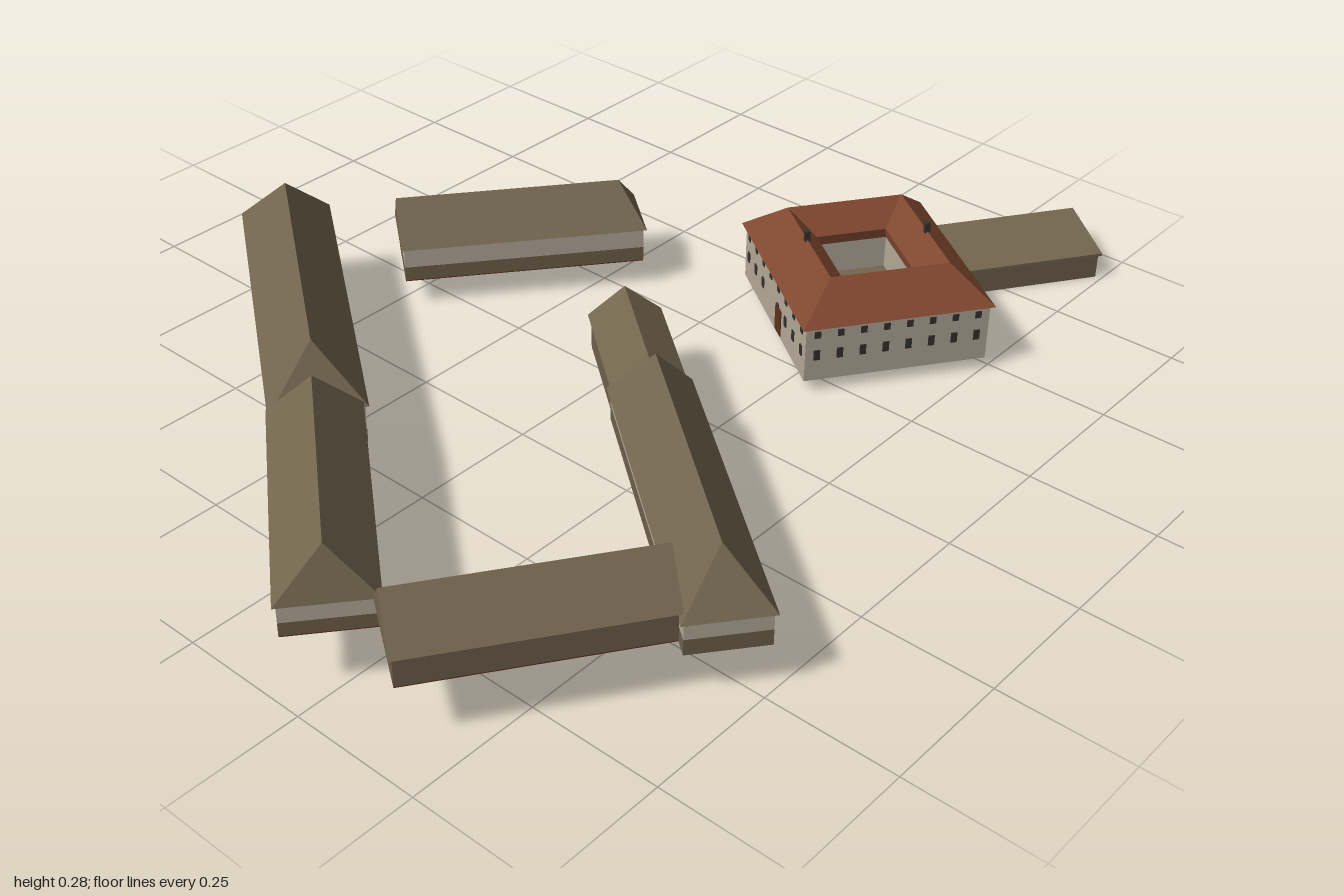
import * as THREE from 'three';

const mat = (name, color) => Object.assign(new THREE.MeshStandardMaterial({ color }), { name });

export function createModel() {
  const model = new THREE.Group();
  model.name = 'courtyardEstate';

  const M = {
    roof: mat('weathered roof', 0x73664f),
    red: mat('red tile', 0x80482f),
    wall: mat('pale plaster', 0xb5aa9a),
    wood: mat('brown wood', 0x6f604b),
    door: mat('door brown', 0x5f321e),
    dark: mat('dark opening', 0x35322e),
  };

  const add = (parent, name, geometry, material, x = 0, y = 0, z = 0) => {
    const mesh = new THREE.Mesh(geometry, material);
    mesh.name = name;
    mesh.position.set(x, y, z);
    parent.add(mesh);
    return mesh;
  };
  // Box between two heights
  const block = (parent, name, material, sx, sz, y0, y1, x = 0, z = 0) =>
    add(parent, name, new THREE.BoxGeometry(sx, y1 - y0, sz), material, x, (y0 + y1) / 2, z);

  // Group whose local x axis runs along the ground from a to b
  const place = (name, a, b) => {
    const g = new THREE.Group();
    g.name = name;
    g.position.set((a[0] + b[0]) / 2, 0, (a[1] + b[1]) / 2);
    g.rotation.y = Math.atan2(a[1] - b[1], b[0] - a[0]);
    model.add(g);
    return { g, len: Math.hypot(b[0] - a[0], b[1] - a[1]) };
  };

  // Flat-faced solid from corner points and polygon faces
  const solid = (pts, faces) => {
    const pos = [];
    for (const f of faces)
      for (let i = 1; i < f.length - 1; i++)
        for (const k of [f[0], f[i], f[i + 1]]) pos.push(...pts[k]);
    const geo = new THREE.BufferGeometry();
    geo.setAttribute('position', new THREE.Float32BufferAttribute(pos, 3));
    geo.computeVertexNormals();
    return geo;
  };

  // Pitched roof; a hip inset of 0 gives a gable
  const pitchedRoof = (len, w, eave, ridge, hipA, hipB) => {
    const x = len / 2, z = w / 2;
    return solid(
      [[-x, eave, z], [x, eave, z], [x, eave, -z], [-x, eave, -z],
        [-x + hipA, ridge, 0], [x - hipB, ridge, 0]],
      [[0, 1, 5, 4], [2, 3, 4, 5], [1, 2, 5], [3, 0, 4], [3, 2, 1, 0]]);
  };

  // Strip joining rectangular loops [halfX, halfZ, y]
  const rings = (loops) => {
    const pts = [], faces = [];
    loops.forEach(([x, z, y], j) => {
      pts.push([-x, y, z], [x, y, z], [x, y, -z], [-x, y, -z]);
      if (!j) return;
      for (let i = 0; i < 4; i++) {
        const n = (i + 1) % 4, p = 4 * (j - 1), q = 4 * j;
        faces.push([p + i, p + n, q + n, q + i]);
      }
    });
    return solid(pts, faces);
  };

  // Dark recessed side with a row of posts
  const arcade = (g, len, z, y0, y1, n) => {
    block(g, 'arcadeOpening', M.dark, len * 0.94, 0.004, y0, y1, 0, z);
    for (let i = 0; i < n; i++)
      block(g, 'arcadePost', M.wood, 0.006, 0.01, y0, y1, len * 0.94 * (i / (n - 1) - 0.5), z);
  };

  // Long wings around the yard: plinth, walls and roof
  const wings = [
    { name: 'northWing', a: [-0.175, -0.714], b: [-0.597, -0.14], w: 0.172, y: [0.087, 0.115, 0.165, 0.275], hips: [0.095, 0.06], doors: [[0, 1], [0, -1]] },
    { name: 'westWing', a: [-0.6, -0.145], b: [-0.928, 0.255], w: 0.165, y: [0.12, 0.145, 0.178, 0.27], hips: [0.045, 0.03], doors: [[-0.16, -1]], floor: true },
    { name: 'southWing', a: [-0.142, 0.207], b: [-0.535, 0.706], w: 0.152, y: [0.088, 0.118, 0.15, 0.245], hips: [0.05, 0.07], doors: [] },
    { name: 'openShed', a: [-0.142, 0.207], b: [0.011, 0.014], w: 0.137, y: [0.078, 0.1, 0.145, 0.2], hips: [0, 0], doors: [], wooden: true },
    { name: 'cornerBarn', a: [-0.91, 0.35], b: [-0.547, 0.6], w: 0.148, y: [0.118, 0.14, 0.172, 0.25], hips: [0, 0], doors: [], wooden: true, floor: true },
    { name: 'eastWing', a: [-0.048, -0.53], b: [0.332, -0.227], w: 0.148, y: [0.057, 0.086, 0.127, 0.205], hips: [0, 0.045], doors: [], floor: true },
  ];
  for (const { name, a, b, w, y: [base, plinth, eave, ridge], hips, doors, wooden, floor } of wings) {
    const { g, len } = place(name, a, b);
    const L = len - 0.012, W = w - 0.012;
    block(g, 'plinth', M.wood, L, W, base, plinth);
    block(g, 'walls', wooden ? M.wood : M.wall, L, W, plinth, eave);
    add(g, 'roof', pitchedRoof(len, w, eave, ridge, ...hips), M.roof);
    if (floor) block(g, 'floor', M.door, L, W, base - 0.002, base);
    for (const [x, side] of doors)
      block(g, 'door', M.door, 0.028, 0.004, base + 0.012, eave - 0.004, x, side * W / 2);
    if (name === 'openShed') arcade(g, len, W / 2, base + 0.012, eave - 0.008, 7);
  }

  // Main house: hollow square with a red ring roof, local +x is its south-east side
  const dir = [0.816 * 0.1, 0.578 * 0.1];
  const house = place('mainHouse', [0.45 - dir[0], 0.24 - dir[1]], [0.45 + dir[0], 0.24 + dir[1]]).g;
  const hx = 0.178, hz = 0.195, ix = 0.073, iz = 0.088, y0 = 0.025;
  add(house, 'outerWalls', rings([[hx, hz, y0], [hx, hz, 0.145]]), M.wall);
  add(house, 'courtyardWalls', rings([[ix, iz, 0.16], [ix, iz, y0]]), M.wall);
  add(house, 'underside', rings([[ix, iz, y0], [hx, hz, y0]]), M.wood);
  add(house, 'ringRoof', rings([[ix, iz, 0.14], [0.186, 0.203, 0.14], [0.116, 0.133, 0.205],
    [0.07, 0.085, 0.16], [ix, iz, 0.14]]), M.red);
  block(house, 'courtyardFloor', M.roof, 2 * ix, 2 * iz, 0.07, 0.075);

  // Two rows of windows on every outer side
  for (const [y, h] of [[0.124, 0.014], [0.08, 0.021]])
    for (const s of [-1, 1]) {
      for (let i = 0; i < 8; i++) {
        const t = (i + 0.5) / 8 - 0.5;
        block(house, 'window', M.dark, 0.012, 0.004, y - h / 2, y + h / 2, t * 2 * hx, s * hz);
        if (s > 0 || y > 0.1 || (i !== 3))
          block(house, 'window', M.dark, 0.004, 0.012, y - h / 2, y + h / 2, s * hx, t * 2 * hz);
      }
    }
  block(house, 'houseDoor', M.door, 0.004, 0.034, y0 + 0.005, 0.085, -hx, 0.03);

  // Chimneys on opposite ridges
  for (const s of [-1, 1])
    block(house, 'chimney', M.dark, 0.01, 0.01, 0.19, 0.222, s * 0.116, 0.01 * s);

  // Lean-to beside the house: sloping top, open on the high side
  const { g: annex, len } = place('leanTo', [0.69, 0.254], [0.955, 0.435]);
  const L = len / 2, low = 0.052, high = 0.077, w = 0.07;
  const wedge = (x, z, b0, b1, t0, t1) => solid(
    [[-x, b0, z], [x, b0, z], [x, b1, -z], [-x, b1, -z], [-x, t0, z], [x, t0, z], [x, t1, -z], [-x, t1, -z]],
    [[0, 1, 5, 4], [1, 2, 6, 5], [2, 3, 7, 6], [3, 0, 4, 7], [4, 5, 6, 7], [3, 2, 1, 0]]);
  add(annex, 'leanToWalls', wedge(L - 0.004, w - 0.004, 0, 0, low, high), M.wood);
  add(annex, 'leanToRoof', wedge(L, w + 0.003, low, high, low + 0.006, high + 0.006), M.roof);
  arcade(annex, len, -w + 0.003, 0.018, 0.068, 9);

  return model;
}
